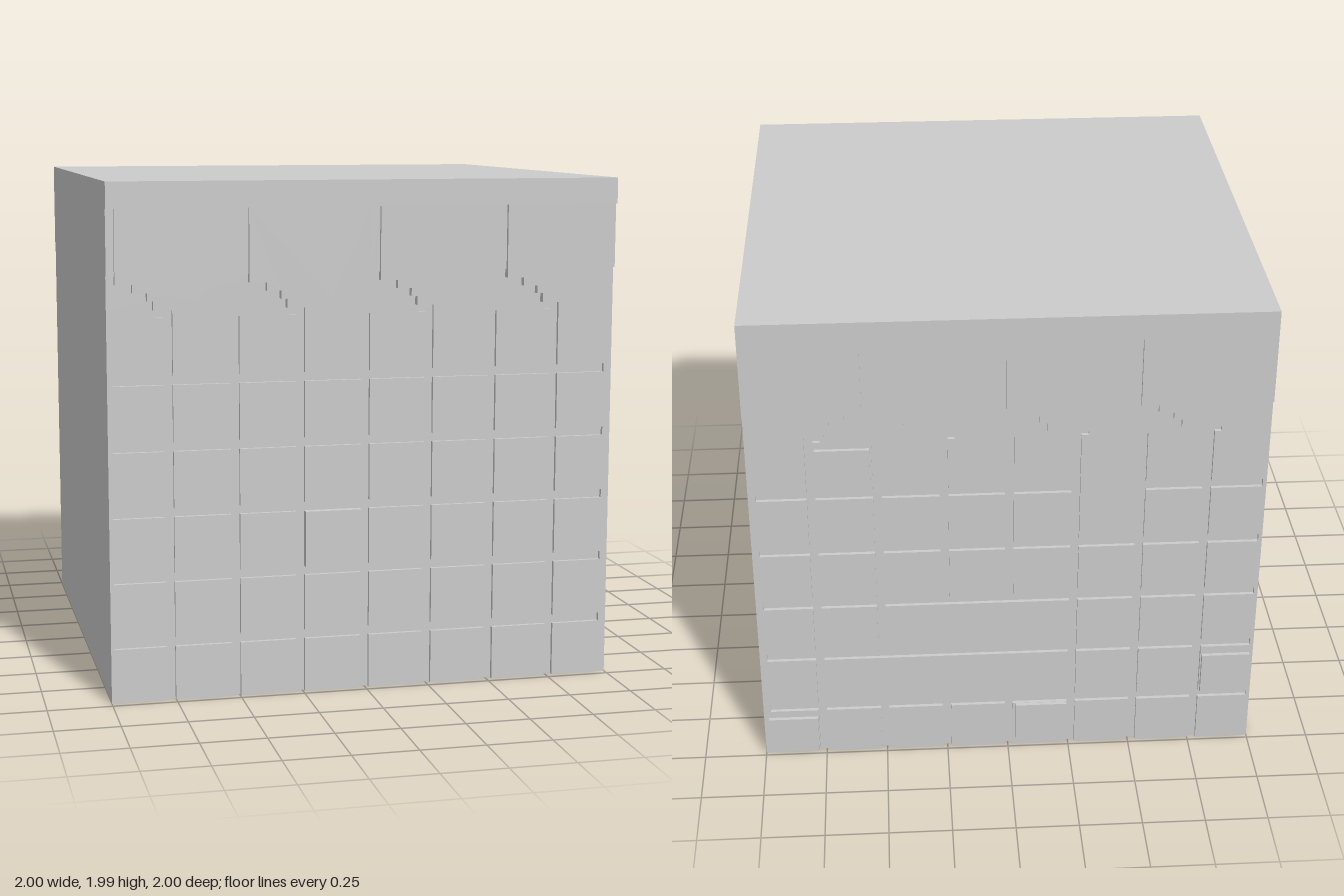
import * as THREE from 'three';
import { mergeGeometries } from 'three/addons/utils/BufferGeometryUtils.js';

const TOP = 1.99, FLOOR = [0.953, -0.969], SKIN = [0.969, -0.984];
const columns = [-0.768, -0.513, -0.259, -0.003, 0.25, 0.505, 0.759]; // vertical joints
const rows = [1.242, 0.988, 0.735, 0.482, 0.228];                      // horizontal joints
const slots = [-0.48, 0.03, 0.537];
const J = 0.017;                                                        // half joint width

// Box given by its limits
function block(x0, x1, y0, y1, z0, z1) {
  const g = new THREE.BoxGeometry(x1 - x0, y1 - y0, Math.abs(z1 - z0));
  return g.translate((x0 + x1) / 2, (y0 + y1) / 2, (z0 + z1) / 2);
}

// Thin wall layer with rectangular joints left open: one block per solid run
function tiledLayer(gaps, z0, z1) {
  const sorted = (a) => [...new Set(a)].sort((p, q) => p - q);
  const xs = sorted([-1, 1, ...gaps.flatMap((g) => [g[0], g[1]])]);
  const ys = sorted([0, TOP, ...gaps.flatMap((g) => [g[2], g[3]])]);
  const parts = [];
  for (let j = 0; j < ys.length - 1; j++) {
    const y = (ys[j] + ys[j + 1]) / 2;
    let start = null;
    for (let i = 0; i < xs.length; i++) {
      const x = (xs[i] + xs[i + 1]) / 2;
      const open = i === xs.length - 1 ||
        gaps.some((g) => x > g[0] && x < g[1] && y > g[2] && y < g[3]);
      if (!open && start === null) start = xs[i];
      if (open && start !== null) {
        parts.push(block(start, xs[i], ys[j], ys[j + 1], z0, z1));
        start = null;
      }
    }
  }
  return mergeGeometries(parts);
}

// Joint rectangles; "skip" tells which pieces are filled in
function joints(skip = () => false) {
  const gaps = [];
  const yEdges = [0, ...[...rows].reverse(), 1.5];
  const xEdges = [-0.985, ...columns, 0.97];
  columns.forEach((x, i) => {
    const top = i % 2 ? 1.48 : 1.51;
    for (let j = 0; j < 6; j++) {
      const y0 = j ? yEdges[j] + J : 0, y1 = j === 5 ? top : yEdges[j + 1] - J;
      if (!skip('v', i, j)) gaps.push([x - J, x + J, y0, y1]);
    }
    if (i % 2 === 0 && i < 7) gaps.push([x - 0.043, x + J, 1.48, 1.51]);
  });
  rows.forEach((y, r) => {
    for (let i = 0; i < 8; i++) {
      const x0 = xEdges[i] - (i ? J : 0), x1 = xEdges[i + 1] + (i < 7 ? J : 0);
      if (!skip('h', i, r)) gaps.push([x0, x1, y - J, y + J]);
    }
  });
  return gaps;
}

// Stepped, scalloped lower edge with narrow slots rising into the band
function overhang(depth, edgeSlots) {
  const s = new THREE.Shape();
  const left = edgeSlots ? -0.97 : -1, right = edgeSlots ? 0.982 : 1;
  s.moveTo(-1, TOP);
  if (edgeSlots) { s.lineTo(-1, 1.89); s.lineTo(left, 1.89); }
  const starts = [-0.99, ...slots];
  starts.forEach((c, i) => {
    const from = i ? c + 0.018 : left;
    const to = i < 3 ? slots[i] - 0.018 : right;
    s.lineTo(from, 1.608);
    const steps = [[c + 0.085, 1.576], [c + 0.14, 1.545], [c + 0.163, 1.51],
      [c + 0.335, 1.545], [c + 0.367, 1.576], [c + 0.425, 1.608]];
    let y = 1.608;
    for (const [x, next] of steps) { s.lineTo(x, y); s.lineTo(x, next); y = next; }
    s.lineTo(to, 1.608);
    s.lineTo(to, 1.89);
    if (i < 3) s.lineTo(slots[i] + 0.018, 1.89);
  });
  if (edgeSlots) s.lineTo(1, 1.89);
  s.lineTo(1, TOP);
  return new THREE.ExtrudeGeometry(s, { depth, bevelEnabled: false });
}

export function createModel() {
  const model = new THREE.Group();
  const material = new THREE.MeshStandardMaterial({ color: 0xcccccc, flatShading: true });
  const add = (name, geometry) => {
    const mesh = new THREE.Mesh(geometry, material);
    mesh.name = name;
    model.add(mesh);
  };

  add('core', block(-1, 1, 0, TOP, FLOOR[1], FLOOR[0]));

  // Front: regular tiles, one of them proud of the rest
  add('frontTiles', tiledLayer(joints(), FLOOR[0], SKIN[0]));
  add('frontRaisedTile', block(-0.242, -0.02, 0.499, 0.718, SKIN[0], 0.985));

  // Back: worn tiling with some joints filled in
  const filled = (kind, i, k) => kind === 'v'
    ? (k === 1 && i >= 3 && i <= 5) || (k === 2 && (i === 3 || i === 4))
    : k === 0 && i === 2;
  add('backTiles', tiledLayer(joints(filled), SKIN[1], FLOOR[1]));
  [[0.53, 0.74, 1.26, 1.45], [0.78, 0.98, 0.02, 0.18],
    [-0.24, -0.03, 0.02, 0.21], [-0.985, -0.79, 0.245, 0.43]]
    .forEach(([x0, x1, y0, y1]) => add('backRaisedTile', block(x0, x1, y0, y1, -1, SKIN[1])));

  // Top band hanging over both tiled faces
  add('frontOverhang', overhang(1 - SKIN[0], true).translate(0, 0, SKIN[0]));
  add('backOverhang', overhang(1 + SKIN[1], false).translate(0, 0, -1));

  // Shallow backing of the front slots
  const backing = [[-1, -0.97], ...slots.map((c) => [c - 0.018, c + 0.018]), [0.982, 1]];
  backing.forEach(([x0, x1]) => add('slotBacking', block(x0, x1, 1.64, 1.89, SKIN[0], 0.985)));
  return model;
}
